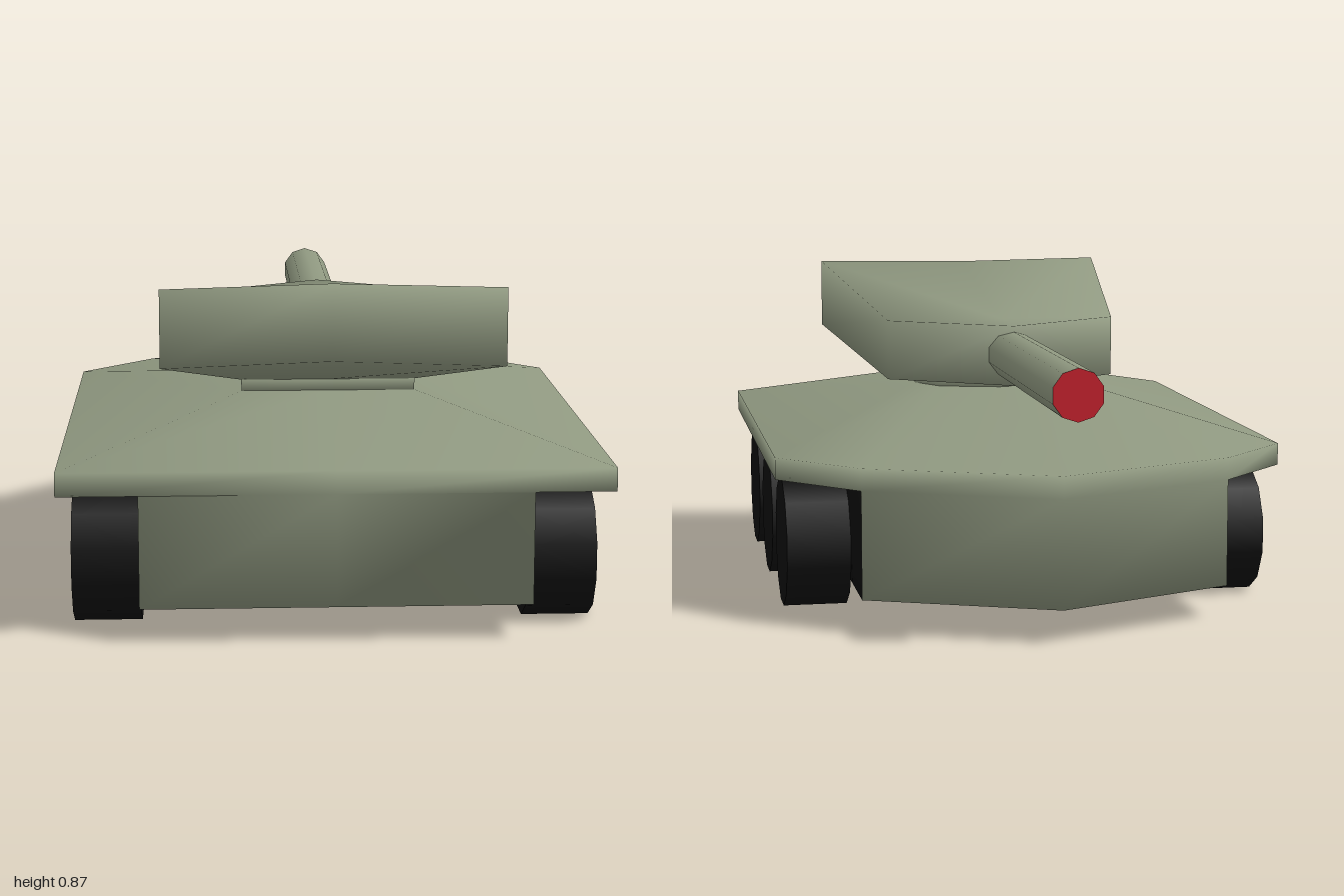
import * as THREE from 'three';
import { mergeVertices } from 'three/addons/utils/BufferGeometryUtils.js';

const mat = (name, color) => {
  const m = new THREE.MeshStandardMaterial({ color });
  m.name = name;
  return m;
};

// Half outline of [x, y, z], tail to nose, completed by mirroring in x
const ring = (half) => [
  ...half,
  ...half.slice(1, -1).reverse().map(([x, y, z]) => [-x, y, z]),
];
const level = (half, y) => ring(half.map(([x, z]) => [x, y, z]));

// Smooth loft through rings from bottom to top, closed by fans;
// isDark(ring, side) picks the second material
function loft(rings, bottom, top, isDark = () => false) {
  const n = rings[0].length;
  const sets = [[], []];
  for (let j = 0; j < n; j++) {
    const k = (j + 1) % n;
    sets[0].push(bottom, rings[0][k], rings[0][j]);
    for (let i = 0; i < rings.length - 1; i++) {
      const a = rings[i], b = rings[i + 1];
      sets[isDark(i, j) ? 1 : 0].push(a[j], a[k], b[k], a[j], b[k], b[j]);
    }
    const last = rings[rings.length - 1];
    sets[0].push(top, last[j], last[k]);
  }
  let g = new THREE.BufferGeometry();
  g.setAttribute('position', new THREE.Float32BufferAttribute([...sets[0], ...sets[1]].flat(), 3));
  g.addGroup(0, sets[0].length, 0);
  if (sets[1].length) g.addGroup(sets[0].length, sets[1].length, 1);
  g = mergeVertices(g);
  g.computeVertexNormals();
  return g;
}

export function createModel() {
  const green = mat('olive green', 0x8f9880);
  const black = mat('rubber black', 0x0f0f0f);
  const red = mat('muzzle red', 0xc4202c);
  const model = new THREE.Group();
  const add = (name, geometry, material) => {
    const mesh = new THREE.Mesh(geometry, material);
    mesh.name = name;
    model.add(mesh);
    return mesh;
  };

  // Hull: narrow tub, overhanging skirt, sloping deck; dark wheel bays
  const tub = [[0, 1], [0.495, 1], [0.495, -0.4], [0.495, -0.62], [0, -0.835]];
  const skirt = [[0, 1], [0.7, 1], [0.7, -0.4], [0.495, -0.62], [0, -0.835]];
  const platform = [[0, 0.535], [0.23, 0.535], [0.23, 0.22], [0.17, 0.12], [0, 0.07]];
  const sides = [1, 2, 5, 6];
  add('hull', loft(
    [level(tub, 0.09), level(tub, 0.38), level(skirt, 0.38), level(skirt, 0.44), level(platform, 0.555)],
    [0, 0.09, 0.2], [0, 0.555, 0.3],
    (i, j) => i === 1 || (i === 0 && sides.includes(j)),
  ), [green, black]);

  // Neck between deck and turret
  add('turretRing', loft(
    [level(platform, 0.55), level(platform, 0.59)], [0, 0.55, 0.3], [0, 0.59, 0.3],
  ), [green]);

  // Wedge turret with a notched, raised tail
  add('turret', loft([
    level([[0, 0.535], [0.23, 0.535], [0.23, 0.2], [0, 0.07]], 0.585),
    ring([[0, 0.67, 0.75], [0.44, 0.67, 0.835], [0.33, 0.585, 0.07], [0, 0.585, -0.145]]),
    ring([[0, 0.872, 0.75], [0.44, 0.872, 0.835], [0.33, 0.755, 0.07], [0, 0.755, -0.145]]),
  ], [0, 0.585, 0.3], [0, 0.755, 0.07]), [green]);

  // Gun barrel with a coloured muzzle face
  const barrel = add('barrel', new THREE.CylinderGeometry(0.068, 0.068, 1, 10, 1, true), green);
  barrel.rotation.x = -Math.PI / 2;
  barrel.position.set(0, 0.67, -0.5);
  const muzzle = add('muzzle', new THREE.CircleGeometry(0.068, 10, Math.PI / 2), red);
  muzzle.rotation.y = Math.PI;
  muzzle.position.set(0, 0.67, -1);

  // Three wheels on each side, resting on a flat facet
  const wheelGeometry = new THREE.CylinderGeometry(0.181, 0.181, 0.175, 12, 1, false, Math.PI / 12);
  wheelGeometry.rotateZ(Math.PI / 2);
  for (const side of [-1, 1]) {
    for (const z of [0.73, 0.265, -0.2]) {
      add(side > 0 ? 'leftWheel' : 'rightWheel', wheelGeometry, black)
        .position.set(side * 0.581, 0.175, z);
    }
  }
  return model;
}
